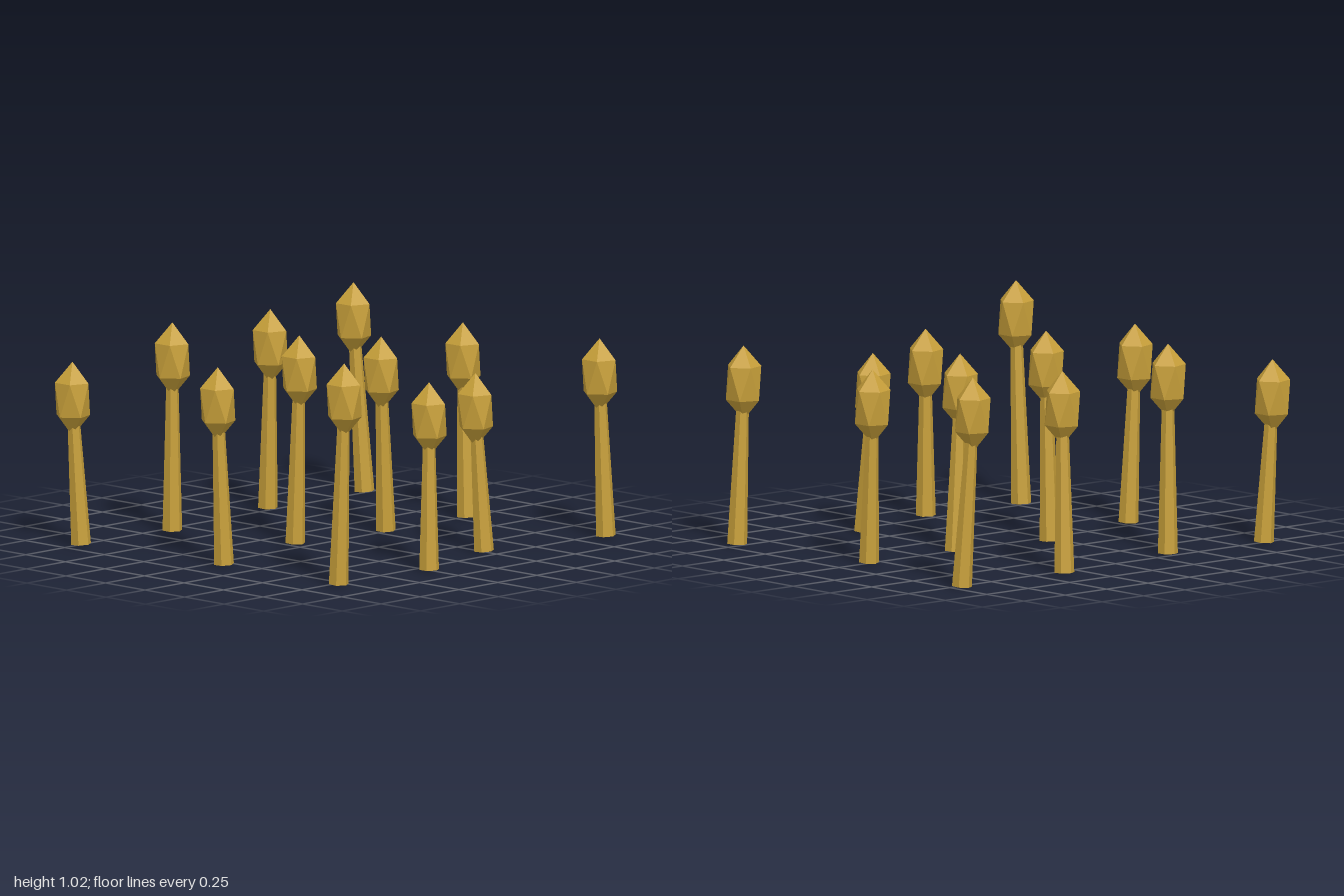
import * as THREE from 'three';

const HEAD_HALF_HEIGHT = 0.17;
const HEAD_RADIUS = 0.09;

// Faceted bud: an icosahedron standing on a vertex, stretched upwards
function budGeometry() {
  const points = [0, 1, 0];
  const ring = (y, start) => {
    for (let i = 0; i < 5; i++) {
      const a = start + (i * Math.PI * 2) / 5;
      points.push(Math.cos(a) * 0.894, y, -Math.sin(a) * 0.894);
    }
  };
  ring(0.447, 0);
  ring(-0.447, Math.PI / 5);
  points.push(0, -1, 0);
  const faces = [];
  for (let i = 0; i < 5; i++) {
    const j = (i + 1) % 5;
    const u = 1 + i, u2 = 1 + j, l = 6 + i, l2 = 6 + j;
    faces.push(0, u, u2, u, l, u2, u2, l, l2, 11, l2, l);
  }
  const indexed = new THREE.BufferGeometry();
  indexed.setAttribute('position', new THREE.Float32BufferAttribute(points, 3));
  indexed.setIndex(faces);
  indexed.scale(HEAD_RADIUS, HEAD_HALF_HEIGHT, HEAD_RADIUS);
  const geometry = indexed.toNonIndexed();
  geometry.computeVertexNormals();
  return geometry;
}

// Each plant: head x, head z, tip height, base x, base z
const plants = [
  [-0.92, -0.78, 0.84, -0.895, -0.75],
  [-0.37, -0.69, 0.96, -0.36, -0.70],
  [0.33, -0.76, 0.92, 0.345, -0.79],
  [0.915, -0.81, 0.96, 0.945, -0.77],
  [-0.83, 0.05, 0.91, -0.80, 0.06],
  [-0.20, -0.055, 0.96, -0.195, -0.085],
  [0.27, 0.0, 0.90, 0.315, -0.015],
  [0.82, -0.025, 0.89, 0.81, 0.01],
  [-0.79, 0.81, 1.02, -0.79, 0.775],
  [-0.235, 0.80, 0.86, -0.25, 0.815],
  [0.23, 0.635, 0.82, 0.26, 0.66],
  [0.89, 0.77, 0.91, 0.915, 0.785],
];

export function createModel() {
  const model = new THREE.Group();
  model.name = 'reeds';
  const straw = new THREE.MeshStandardMaterial({ color: 0xc8a03a, flatShading: true });
  straw.name = 'straw gold';
  const bud = budGeometry();
  const up = new THREE.Vector3(0, 1, 0);

  plants.forEach(([hx, hz, tip, bx, bz]) => {
    const plant = new THREE.Group();
    plant.name = 'reed';

    const head = new THREE.Mesh(bud, straw);
    head.name = 'head';
    head.position.set(hx, tip - HEAD_HALF_HEIGHT, hz);

    // Tapered stalk leaning from its base to the middle of the head
    const base = new THREE.Vector3(bx, 0.006, bz);
    const axis = head.position.clone().sub(base);
    const stalk = new THREE.Mesh(new THREE.CylinderGeometry(0.026, 0.046, axis.length(), 6), straw);
    stalk.name = 'stalk';
    stalk.position.copy(base).addScaledVector(axis, 0.5);
    stalk.quaternion.setFromUnitVectors(up, axis.clone().normalize());

    plant.add(stalk, head);
    model.add(plant);
  });
  return model;
}
